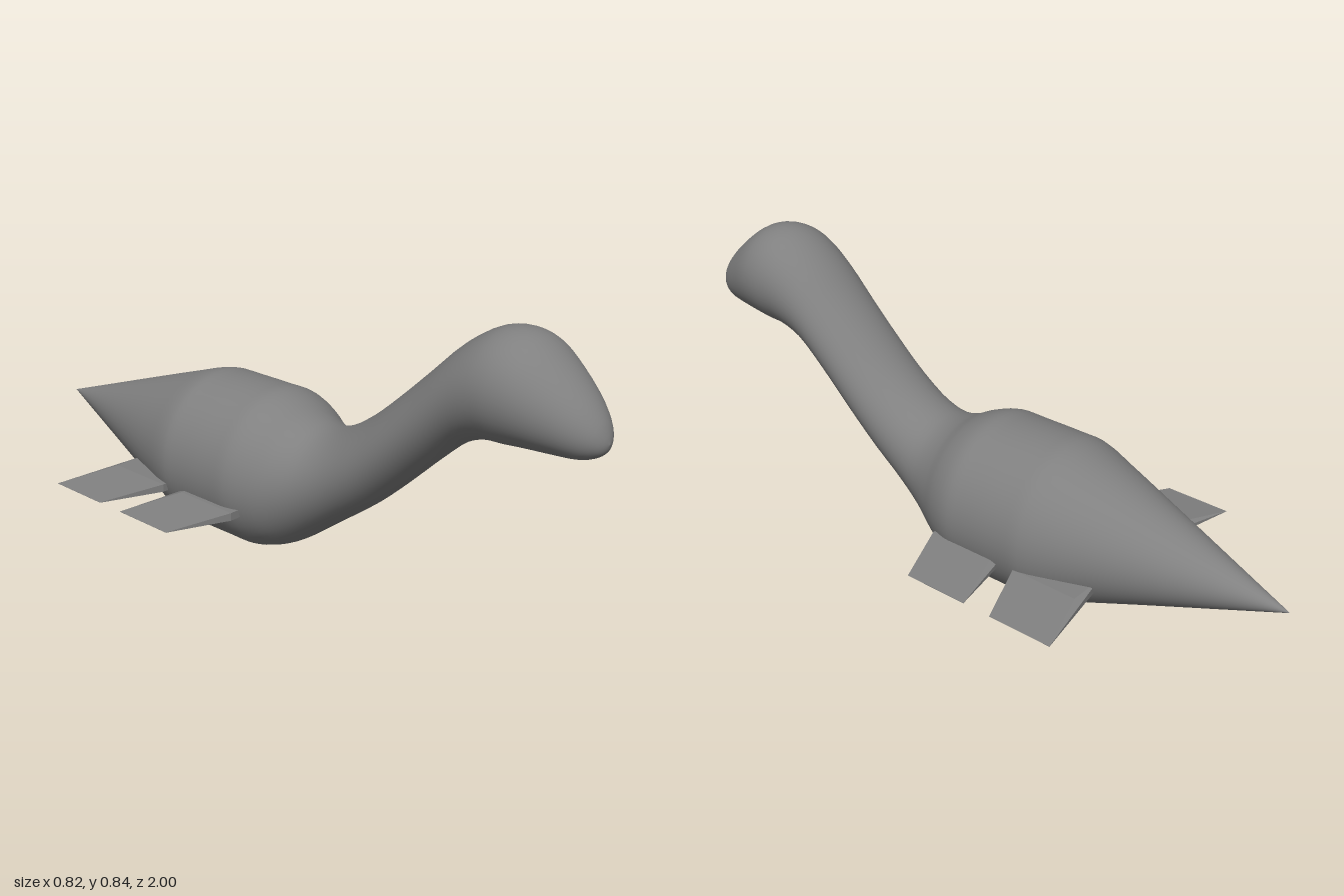
import * as THREE from 'three';
import { ConvexGeometry } from 'three/addons/geometries/ConvexGeometry.js';

// Body stations: z, centre height, radius (upright round sections, tail to nose)
const STATIONS = [
  [-1, 0.24, 0], [-0.8, 0.24, 0.07], [-0.6, 0.24, 0.14], [-0.42, 0.239, 0.203],
  [-0.32, 0.239, 0.235], [-0.26, 0.239, 0.237], [-0.12, 0.239, 0.237], [-0.06, 0.239, 0.236],
  [0, 0.238, 0.216], [0.05, 0.238, 0.189], [0.12, 0.256, 0.156], [0.2, 0.297, 0.138],
  [0.3, 0.367, 0.133], [0.4, 0.455, 0.132], [0.5, 0.55, 0.132], [0.6, 0.64, 0.137],
  [0.68, 0.681, 0.146], [0.74, 0.689, 0.149], [0.8, 0.685, 0.14], [0.87, 0.662, 0.114],
  [0.94, 0.632, 0.079], [0.98, 0.615, 0.045], [0.995, 0.607, 0.02], [1, 0.605, 0],
];

// Smooth loft of circles along the spine, leaning very slightly to one side
function bodyGeometry() {
  const sides = 48, steps = 3;
  const spine = new THREE.CatmullRomCurve3(STATIONS.map((s) => new THREE.Vector3(...s)));
  const rings = (STATIONS.length - 1) * steps;
  const pos = [], index = [];
  for (let i = 0; i <= rings; i++) {
    const s = spine.getPoint(i / rings);
    const z = s.x, r = Math.max(0, s.z), cx = 0.01 + 0.01 * z;
    for (let j = 0; j < sides; j++) {
      const a = (j / sides) * Math.PI * 2;
      pos.push(cx + r * Math.cos(a), s.y + r * Math.sin(a), z);
      if (i === rings) continue;
      const k = (j + 1) % sides, p = i * sides, q = p + sides;
      index.push(p + j, p + k, q + j, p + k, q + k, q + j);
    }
  }
  const g = new THREE.BufferGeometry();
  g.setAttribute('position', new THREE.Float32BufferAttribute(pos, 3));
  g.setIndex(index);
  g.computeVertexNormals();
  return g;
}

// Flat-bottomed wedge: thick at the root, thin at the swept-back tip
function finGeometry(side, front) {
  const low = 0.162, high = 0.185, root = 0.205, sweep = side < 0 ? 0.073 : 0.065;
  const pts = [];
  for (const z of [front, front - root]) {
    for (const x of [0.13, 0.235]) {
      for (const y of [low, high]) pts.push(new THREE.Vector3(side * x, y, z));
    }
  }
  for (const z of [front - sweep, front - sweep - 0.195]) {
    for (const y of [low, low + 0.001]) pts.push(new THREE.Vector3(side * 0.411, y, z));
  }
  return new ConvexGeometry(pts);
}

export function createModel() {
  const group = new THREE.Group();
  group.name = 'longNeckedSwimmer';
  const grey = new THREE.MeshStandardMaterial({ color: 0x808080 });
  grey.name = 'grey';

  const add = (name, geometry) => {
    const mesh = new THREE.Mesh(geometry, grey);
    mesh.name = name;
    group.add(mesh);
  };

  add('body', bodyGeometry());

  // Two pairs of flippers
  for (const [side, label] of [[1, 'Left'], [-1, 'Right']]) {
    add(`front${label}Flipper`, finGeometry(side, -0.02));
    add(`rear${label}Flipper`, finGeometry(side, -0.303));
  }
  return group;
}
